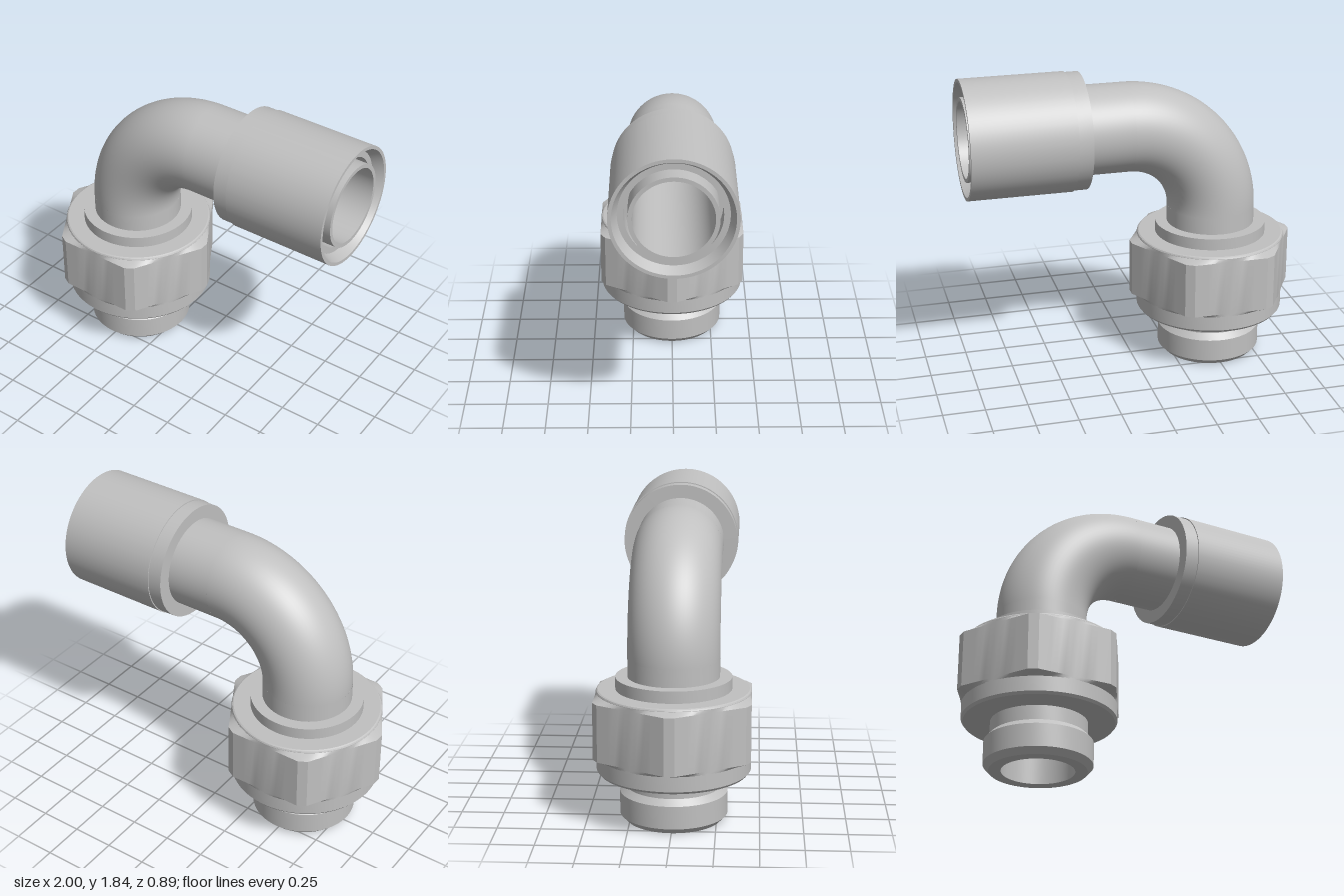
import * as THREE from 'three';
import { toCreasedNormals } from 'three/addons/utils/BufferGeometryUtils.js';

const AXIS_X = -0.5;   // centre of the upright leg
const AXIS_Y = 1.485;  // centre of the horizontal leg
const BEND = 0.53;     // bend radius of the elbow
const PIPE_R = 0.265;
const BORE_R = 0.222;

// Turned part from [radius, height] pairs, with sharp edges kept
function turned(profile, segments = 96) {
  const points = profile.map(([r, y]) => new THREE.Vector2(r, y));
  return toCreasedNormals(new THREE.LatheGeometry(points, segments), 0.4);
}

// Hexagon with corners turned down to a circle, stacked as rings with a radius limit
function hexNut(apothem, rings) {
  const corner = Math.max(...rings.map(([r]) => r));
  const half = Math.acos(apothem / corner);
  const steps = 12;
  const angles = [];
  for (let side = 0; side < 6; side++) {
    for (let i = 0; i <= steps; i++) {
      angles.push([Math.PI / 6 + side * Math.PI / 3, half * (2 * i / steps - 1)]);
    }
  }
  const positions = [], index = [], n = angles.length;
  for (const [limit, y] of rings) {
    for (const [normal, offset] of angles) {
      const r = Math.min(apothem / Math.cos(offset), limit);
      positions.push(r * Math.cos(normal + offset), y, -r * Math.sin(normal + offset));
    }
  }
  for (let k = 0; k < rings.length - 1; k++) {
    for (let i = 0; i < n; i++) {
      const a = k * n + i, b = k * n + (i + 1) % n;
      index.push(a, b, b + n, a, b + n, a + n);
    }
  }
  const geometry = new THREE.BufferGeometry();
  geometry.setAttribute('position', new THREE.Float32BufferAttribute(positions, 3));
  geometry.setIndex(index);
  return toCreasedNormals(geometry, 0.4);
}

export function createModel() {
  const model = new THREE.Group();
  const steel = new THREE.MeshStandardMaterial({ color: 0xc0c0c0, side: THREE.DoubleSide });
  steel.name = 'steel';

  function add(name, geometry, x = 0, y = 0) {
    const mesh = new THREE.Mesh(geometry, steel);
    mesh.name = name;
    mesh.position.set(x, y, 0);
    model.add(mesh);
  }

  // Stud end with groove, flange and bore
  add('studEnd', turned([
    [0.21, 0], [0.28, 0], [0.313, 0.035], [0.313, 0.17], [0.28, 0.205], [0.28, 0.29],
    [0.435, 0.29], [0.447, 0.305], [0.447, 0.4], [0.3, 0.4],
  ]), AXIS_X);

  // Union nut: chamfered hexagon and its rounded top face
  add('hexNut', hexNut(0.447, [[0.447, 0.393], [0.5, 0.412], [0.5, 0.747], [0.447, 0.766]]), AXIS_X);
  add('nutTop', turned([[0.447, 0.755], [0.447, 0.768], [0.443, 0.776], [0.435, 0.78], [0.3, 0.78]]), AXIS_X);
  add('collar', turned([[0.335, 0.77], [0.335, 0.85], [0.25, 0.85]]), AXIS_X);

  // Upright leg with its bore
  const bendY = AXIS_Y - BEND, bendX = AXIS_X + BEND;
  add('uprightPipe', turned([[PIPE_R, 0.8], [PIPE_R, bendY]]), AXIS_X);
  add('uprightBore', turned([[BORE_R, bendY], [0.21, 0.6], [0.21, 0]]), AXIS_X);

  // Quarter bend, outside and inside
  for (const [name, r] of [['elbow', PIPE_R], ['elbowBore', BORE_R]]) {
    const bend = new THREE.TorusGeometry(BEND, r, 64, 48, Math.PI / 2);
    add(name, bend.rotateZ(Math.PI / 2), bendX, bendY);
  }

  // Horizontal leg
  const along = profile => turned(profile).rotateZ(-Math.PI / 2);
  add('horizontalPipe', along([[PIPE_R, bendX], [PIPE_R, 0.35]]), 0, AXIS_Y);

  // Sleeve with stepped socket
  add('sleeve', along([
    [0.25, 0.3], [0.346, 0.3], [0.346, 0.385], [0.352, 0.385], [0.352, 1],
    [0.332, 1], [0.302, 0.94], [0.267, 0.94], [0.267, 0.82], [0.24, 0.82],
  ]), 0, AXIS_Y);

  // Inner tube standing in the socket
  add('innerTube', along([[0.246, 0.8], [0.246, 0.995], [BORE_R, 0.995], [BORE_R, bendX]]), 0, AXIS_Y);

  return model;
}
